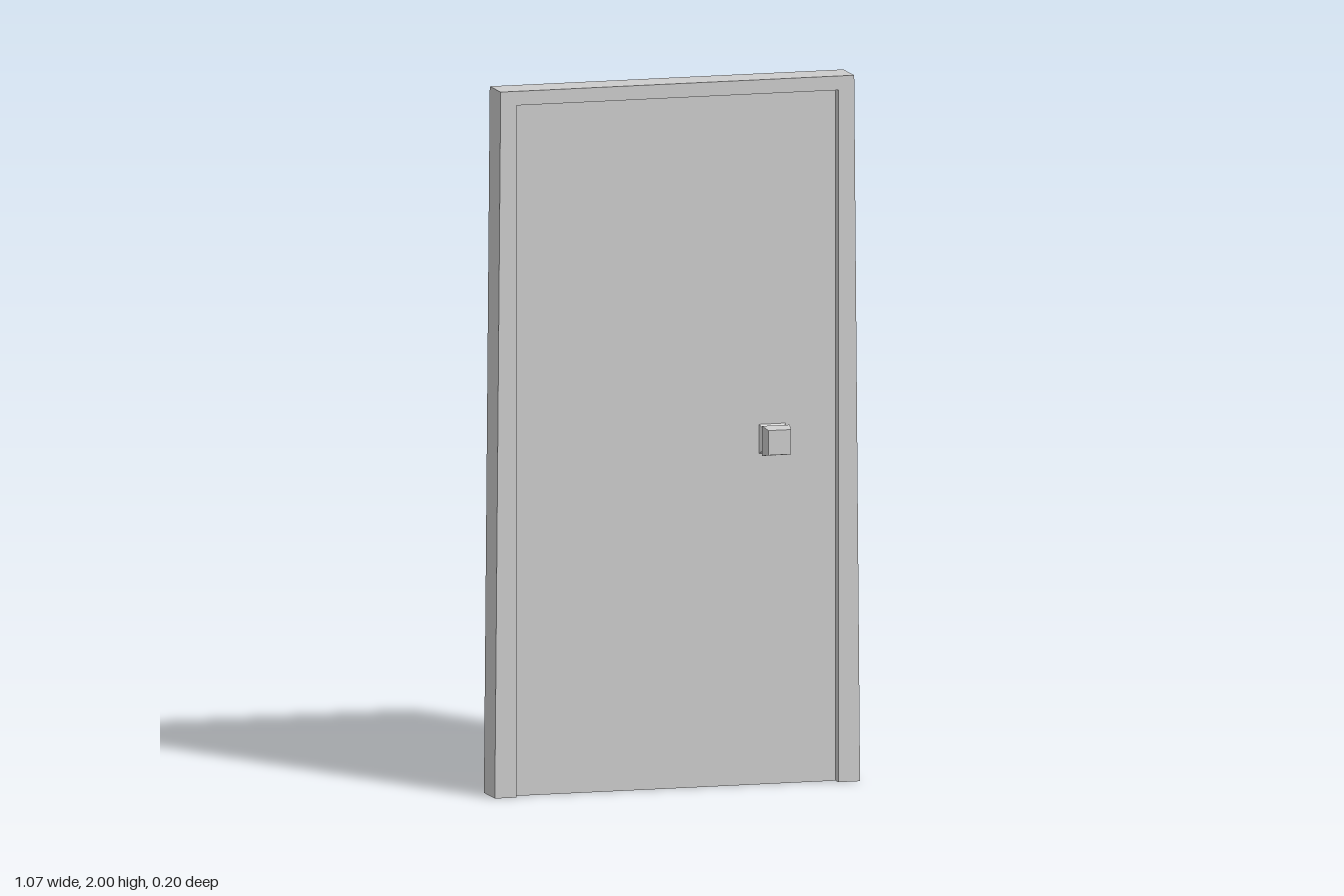
import * as THREE from 'three';

const material = new THREE.MeshStandardMaterial({ color: 0xcccccc, flatShading: true });

function addPart(parent, name, geometry) {
  const mesh = new THREE.Mesh(geometry, material);
  mesh.name = name;
  parent.add(mesh);
  return mesh;
}

// Square-sided knob: flared base, narrow neck, tapered grip; grows along +z
function knobGeometry() {
  const profile = [[0.04, 0.024], [0.022, 0.045], [0.04, 0.061], [0.033, 0.1], [0, 0.1]]
    .map(([half, z]) => new THREE.Vector2(half * Math.SQRT2, z));
  const geometry = new THREE.LatheGeometry(profile, 4, Math.PI / 4).toNonIndexed();
  geometry.rotateX(Math.PI / 2);
  geometry.scale(1, 1.06, 1);
  geometry.computeVertexNormals();
  return geometry;
}

export function createModel() {
  const model = new THREE.Group();
  model.name = 'door';

  // Frame: two jambs and a head, leaning slightly inward on the outside
  const depth = 0.106;
  const outline = new THREE.Shape([
    [-0.533, 0], [-0.47, 0], [-0.47, 1.96], [0.47, 1.96],
    [0.47, 0], [0.533, 0], [0.516, 2], [-0.516, 2],
  ].map(([x, y]) => new THREE.Vector2(x, y)));
  const frame = new THREE.ExtrudeGeometry(outline, { depth, bevelEnabled: false });
  frame.translate(0, 0, -depth / 2);
  addPart(model, 'frame', frame);

  // Recessed door leaf
  const leaf = addPart(model, 'doorLeaf', new THREE.BoxGeometry(0.94, 1.96, 0.05));
  leaf.position.y = 0.98;

  // One knob on each side of the leaf
  const knob = knobGeometry();
  for (const [name, turn] of [['frontKnob', 0], ['backKnob', Math.PI]]) {
    const mesh = addPart(model, name, knob);
    mesh.position.set(0.285, 0.978, 0);
    mesh.rotation.y = turn;
  }
  return model;
}
